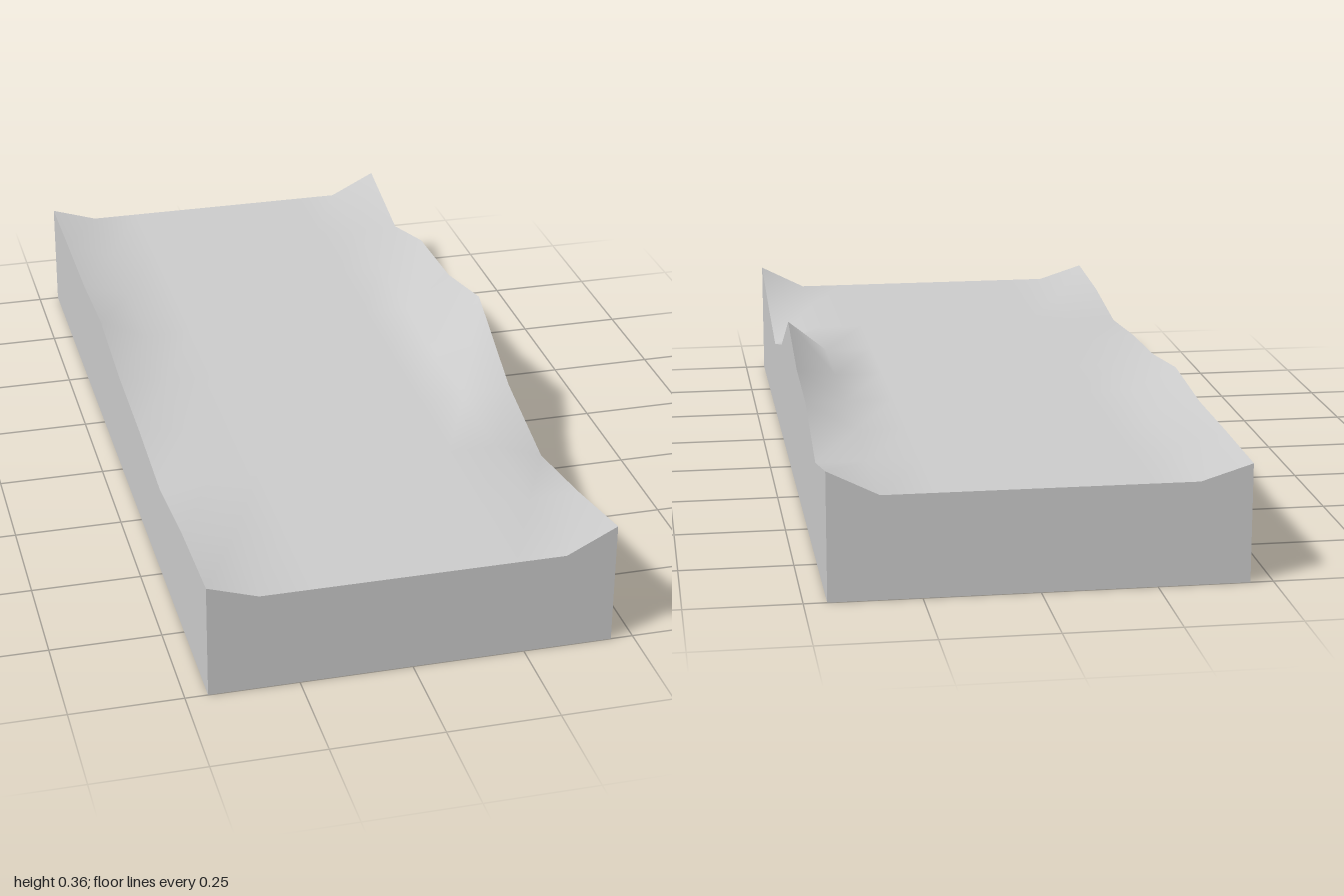
import * as THREE from 'three';

const WIDTH = 0.9, LENGTH = 2, PLATEAU = 0.228, SEGMENTS = 8;

// Heights of the two raised long edges, from back (z = -1) to front (z = 1)
const LEFT_EDGE = [0.284, 0.229, 0.296, 0.309, 0.364, 0.246, 0.188, 0.232, 0.285];
const RIGHT_EDGE = [0.263, 0.265, 0.264, 0.281, 0.251, 0.241, 0.221, 0.251, 0.264];

// Height of the ground: level in the middle, uneven along both long edges
function groundHeight(x, z) {
  const row = Math.round((z / LENGTH + 0.5) * SEGMENTS);
  if (x > WIDTH / 2 - 0.01) return LEFT_EDGE[row];
  if (x < -WIDTH / 2 + 0.01) return RIGHT_EDGE[row];
  return PLATEAU;
}

export function createModel() {
  const group = new THREE.Group();
  group.name = 'groundTile';

  // Block whose top vertices follow the ground; top is smooth, sides stay crisp
  const geometry = new THREE.BoxGeometry(WIDTH, 1, LENGTH, SEGMENTS, 1, SEGMENTS);
  const p = geometry.attributes.position;
  for (let i = 0; i < p.count; i++) {
    p.setY(i, p.getY(i) > 0 ? groundHeight(p.getX(i), p.getZ(i)) : 0);
  }
  geometry.computeVertexNormals();

  const block = new THREE.Mesh(geometry, new THREE.MeshStandardMaterial({ color: 0xcccccc }));
  block.name = 'groundBlock';
  group.add(block);
  return group;
}
